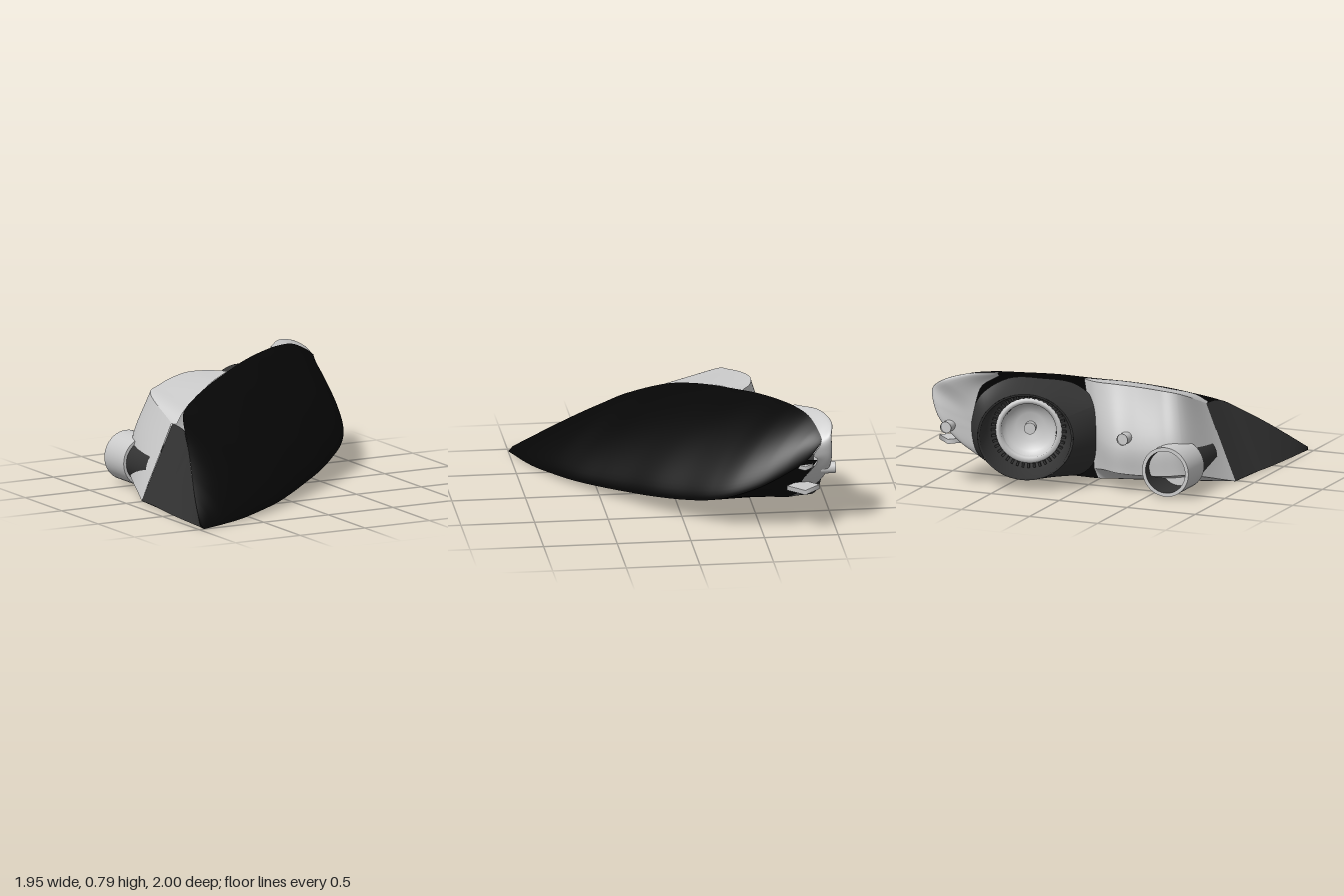
import * as THREE from 'three';

const V = (p) => new THREE.Vector3(p[0], p[1], p[2]);
const GREY = new THREE.MeshStandardMaterial({ color: 0xcccccc, side: THREE.DoubleSide });
const DARK = new THREE.MeshStandardMaterial({ color: 0x333333, side: THREE.DoubleSide });
const BLACK = new THREE.MeshStandardMaterial({ color: 0x060606, side: THREE.DoubleSide });

// Sample n + 1 points along a row, as straight segments or a smooth curve
function sampleRow(points, n, { straight = false, closed = false } = {}) {
  const pts = points.map(V);
  if (!straight) return new THREE.CatmullRomCurve3(pts, closed, 'centripetal').getPoints(n);
  return Array.from({ length: n + 1 }, (_, i) => {
    const f = (i / n) * (pts.length - 1), k = Math.min(Math.floor(f), pts.length - 2);
    return pts[k].clone().lerp(pts[k + 1], f - k);
  });
}

// Skin through rows of points; an optional bulge(s, t) offsets the surface
function loft(rows, { n = 72, m = 10, bulge = null, ...opts } = {}) {
  const lines = rows.map((r) => sampleRow(r, n, opts));
  const pos = [], index = [];
  for (let i = 0; i <= n; i++) {
    const across = new THREE.CatmullRomCurve3(lines.map((l) => l[i]));
    for (let j = 0; j <= m; j++) {
      const p = across.getPoint(j / m);
      if (bulge) p.add(bulge(j / m, i / n));
      pos.push(p.x, p.y, p.z);
      if (i < n && j < m) {
        const a = i * (m + 1) + j, b = a + m + 1;
        index.push(a, b, a + 1, b, b + 1, a + 1);
      }
    }
  }
  const g = new THREE.BufferGeometry();
  g.setAttribute('position', new THREE.Float32BufferAttribute(pos, 3));
  g.setIndex(index);
  g.computeVertexNormals();
  return g;
}

export function createModel() {
  const root = new THREE.Group();
  const add = (name, geo, mat, parent = root) => {
    const mesh = new THREE.Mesh(geo, mat);
    mesh.name = name;
    parent.add(mesh);
    return mesh;
  };

  // Swept-back lens between its upper and lower edges
  const upper = [
    [-0.975, 0.035, 0.965], [-0.9, 0.165, 0.765], [-0.83, 0.27, 0.605], [-0.74, 0.395, 0.4], [-0.66, 0.5, 0.2],
    [-0.55, 0.585, -0.01], [-0.4, 0.64, -0.135], [-0.2, 0.69, -0.28], [0, 0.725, -0.415], [0.2, 0.76, -0.54],
    [0.4, 0.78, -0.66], [0.6, 0.79, -0.76], [0.75, 0.775, -0.83], [0.86, 0.73, -0.87], [0.92, 0.695, -0.888],
    [0.952, 0.67, -0.895]];
  const lower = [
    [-0.96, 0.005, 1], [-0.88, 0.005, 0.97], [-0.75, 0.01, 0.93], [-0.6, 0.015, 0.87], [-0.4, 0.03, 0.77],
    [-0.2, 0.045, 0.65], [0, 0.065, 0.5], [0.2, 0.09, 0.34], [0.4, 0.12, 0.18], [0.59, 0.155, 0],
    [0.75, 0.2, -0.16], [0.85, 0.255, -0.3], [0.915, 0.335, -0.48], [0.94, 0.43, -0.65], [0.95, 0.53, -0.8],
    [0.956, 0.64, -0.885]];
  const swell = (s, t) => new THREE.Vector3(0.1, 0.85, 0.3)
    .multiplyScalar(0.12 * Math.sin(Math.PI * s) * Math.sin(Math.PI * t));
  add('lens', loft([lower, upper], { m: 20, n: 120, bulge: swell }), BLACK);

  // Underside between the lens and the rear housing, running up to the blunt end
  add('underside', loft([lower.slice(0, 15), [
    [-0.965, 0.01, 0.97], [-0.955, 0.01, 0.85], [-0.94, 0.01, 0.7], [-0.925, 0.01, 0.5], [-0.9, 0.01, 0.25],
    [-0.87, 0.005, -0.02], [-0.5, 0.02, -0.22], [-0.25, 0.035, -0.36], [-0.04, 0.05, -0.48], [0.2, 0.07, -0.54],
    [0.42, 0.1, -0.66], [0.55, 0.13, -0.72], [0.66, 0.2, -0.78], [0.82, 0.34, -0.78], [0.93, 0.52, -0.87],
  ]], { straight: true, n: 84 }), BLACK);

  // Dark wall beside the pointed end
  add('sideWall', loft([
    [[-0.975, 0.035, 0.965], [-0.83, 0.27, 0.605], [-0.74, 0.395, 0.4], [-0.66, 0.5, 0.2], [-0.64, 0.52, 0]],
    [[-0.965, 0.01, 0.97], [-0.94, 0.01, 0.6], [-0.92, 0.01, 0.4], [-0.89, 0.01, 0.2], [-0.87, 0.005, -0.02]],
  ], { n: 32 }), DARK);

  // Small lamp bucket: lid, bowed back wall and lower bevel
  const lidInner = [[-0.64, 0.52, 0.05], [-0.57, 0.575, 0], [-0.45, 0.62, -0.1], [-0.3, 0.665, -0.21],
    [-0.15, 0.7, -0.32], [-0.05, 0.715, -0.39], [0.04, 0.73, -0.45]];
  const lidOuter = [[-0.65, 0.52, 0], [-0.6, 0.665, -0.38], [-0.5, 0.69, -0.44], [-0.35, 0.718, -0.51],
    [-0.2, 0.732, -0.55], [-0.06, 0.73, -0.53], [0.05, 0.725, -0.46]];
  const wallMid = [[-0.76, 0.26, -0.01], [-0.68, 0.35, -0.48], [-0.58, 0.33, -0.56], [-0.42, 0.32, -0.62],
    [-0.27, 0.33, -0.66], [-0.12, 0.36, -0.6], [-0.02, 0.4, -0.5]];
  const wallFoot = [[-0.87, 0.005, -0.02], [-0.71, 0.13, -0.47], [-0.6, 0.13, -0.55], [-0.44, 0.13, -0.6],
    [-0.28, 0.14, -0.64], [-0.14, 0.14, -0.58], [-0.04, 0.12, -0.5]];
  const bevelFoot = [[-0.87, 0.005, -0.02], [-0.75, 0.01, -0.08], [-0.6, 0.015, -0.16], [-0.5, 0.02, -0.22],
    [-0.35, 0.03, -0.3], [-0.2, 0.04, -0.39], [-0.06, 0.05, -0.48]];
  add('bucketLid', loft([lidInner, lidOuter]), GREY);
  add('bucketWall', loft([lidOuter, wallMid, wallFoot], { m: 16 }), GREY);
  add('bucketBevel', loft([wallFoot, bevelFoot]), GREY);

  // Large round lamp housing, blending from the body to a tilted oval rim
  const centre = V([0.315, 0.378, -0.845]), outward = V([-0.29, 0, -0.957]).normalize();
  const rim = Array.from({ length: 12 }, (_, i) => {
    const a = (150 - 30 * i) * Math.PI / 180, w = 0.325 * Math.cos(a);
    return [centre.x + 0.957 * w, centre.y + 0.298 * Math.sin(a), centre.z - 0.29 * w];
  });
  const root12 = [[-0.07, 0.57, -0.52], [0.1, 0.69, -0.49], [0.3, 0.735, -0.6], [0.5, 0.74, -0.71],
    [0.66, 0.62, -0.84], [0.7, 0.42, -0.87], [0.66, 0.22, -0.84], [0.52, 0.12, -0.72], [0.3, 0.08, -0.58],
    [0.08, 0.06, -0.47], [-0.06, 0.2, -0.5], [-0.1, 0.4, -0.54]];
  add('lampHousing', loft([root12, rim], { closed: true }), DARK);

  // Lamp inside the housing; local +z points out of the opening
  const lamp = new THREE.Group();
  lamp.name = 'lamp';
  lamp.position.copy(centre);
  lamp.quaternion.setFromUnitVectors(new THREE.Vector3(0, 0, 1), outward);
  root.add(lamp);
  const lathe = (pts) => new THREE.LatheGeometry(pts.map((p) => new THREE.Vector2(...p)), 48).rotateX(Math.PI / 2);
  add('housingLining', lathe([[0.32, 0], [0.305, 0], [0.28, -0.2], [0.22, -0.21]]), DARK, lamp)
    .scale.set(1.015, 0.93, 1);
  add('retainingRing', lathe([[0.225, -0.2], [0.21, -0.19], [0.188, -0.19], [0.183, -0.24]]), GREY, lamp);
  add('reflector', lathe([[0.183, -0.23], [0.16, -0.27], [0.1, -0.3], [0, -0.31]]), GREY, lamp);
  add('bulbHolder', new THREE.CylinderGeometry(0.04, 0.04, 0.06, 24).rotateX(Math.PI / 2), GREY, lamp)
    .position.z = -0.28;
  for (let i = 0; i < 40; i++) {
    const a = (i / 40) * Math.PI * 2;
    const tooth = add('ringTooth', new THREE.BoxGeometry(0.03, 0.014, 0.03), DARK, lamp);
    tooth.position.set(0.24 * Math.cos(a), 0.24 * Math.sin(a), -0.195);
    tooth.rotation.z = a;
  }

  // Rounded end cap wrapping the blunt end
  add('endCap', loft([
    [[0.55, 0.785, -0.74], [0.75, 0.77, -0.83], [0.9, 0.705, -0.88], [0.955, 0.65, -0.89], [0.95, 0.56, -0.84],
      [0.93, 0.52, -0.87], [0.82, 0.34, -0.78], [0.66, 0.2, -0.78]],
    [[0.55, 0.785, -0.77], [0.7, 0.795, -0.91], [0.86, 0.752, -0.975], [0.945, 0.685, -0.96], [0.935, 0.58, -0.965],
      [0.89, 0.47, -0.96], [0.78, 0.32, -0.9], [0.66, 0.2, -0.81]],
    [[0.55, 0.76, -0.75], [0.64, 0.7, -0.83], [0.67, 0.6, -0.86], [0.69, 0.5, -0.87], [0.7, 0.45, -0.87],
      [0.7, 0.4, -0.87], [0.68, 0.28, -0.86], [0.65, 0.2, -0.82]],
  ], { m: 16 }), GREY);

  // Hollow vent pipe with its darker neck
  const alongZ = (r, z0, z1) => new THREE.CylinderGeometry(r, r, z0 - z1, 40, 1, true)
    .rotateX(Math.PI / 2).translate(0, 0, (z0 + z1) / 2);
  const pipe = new THREE.Group();
  pipe.name = 'ventPipe';
  pipe.position.set(-0.63, 0.185, 0);
  root.add(pipe);
  add('pipeOuter', alongZ(0.17, -0.39, -0.655), GREY, pipe);
  add('pipeInner', alongZ(0.145, -0.39, -0.655), DARK, pipe);
  for (const z of [-0.655, -0.39]) {
    add('pipeLip', new THREE.RingGeometry(0.145, 0.17, 40).translate(0, 0, z), GREY, pipe);
  }
  add('pipeFloor', new THREE.CircleGeometry(0.145, 40).translate(0, 0, -0.42), GREY, pipe);
  add('pipeNeck', alongZ(0.15, -0.12, -0.39), DARK, pipe);

  // Adjuster pegs with hollow ends
  for (const [x, y, z0, z1] of [[-0.33, 0.39, -0.6, -0.695], [0.835, 0.43, -0.9, -1]]) {
    const peg = add('adjusterPeg', alongZ(0.04, z0, z1), GREY);
    peg.position.set(x, y, 0);
    add('pegFace', new THREE.CircleGeometry(0.04, 24).translate(0, 0, z1 + 0.015), GREY, peg);
  }

  // Pointed mounting tabs on the blunt end
  for (const [x, y, z, r, h] of [[0.915, 0.475, -0.78, 0.058, 0.028], [0.865, 0.305, -0.78, 0.11, 0.032]]) {
    add('mountingTab', new THREE.CylinderGeometry(r, r, h, 4), GREY).position.set(x, y, z);
  }
  return root;
}
